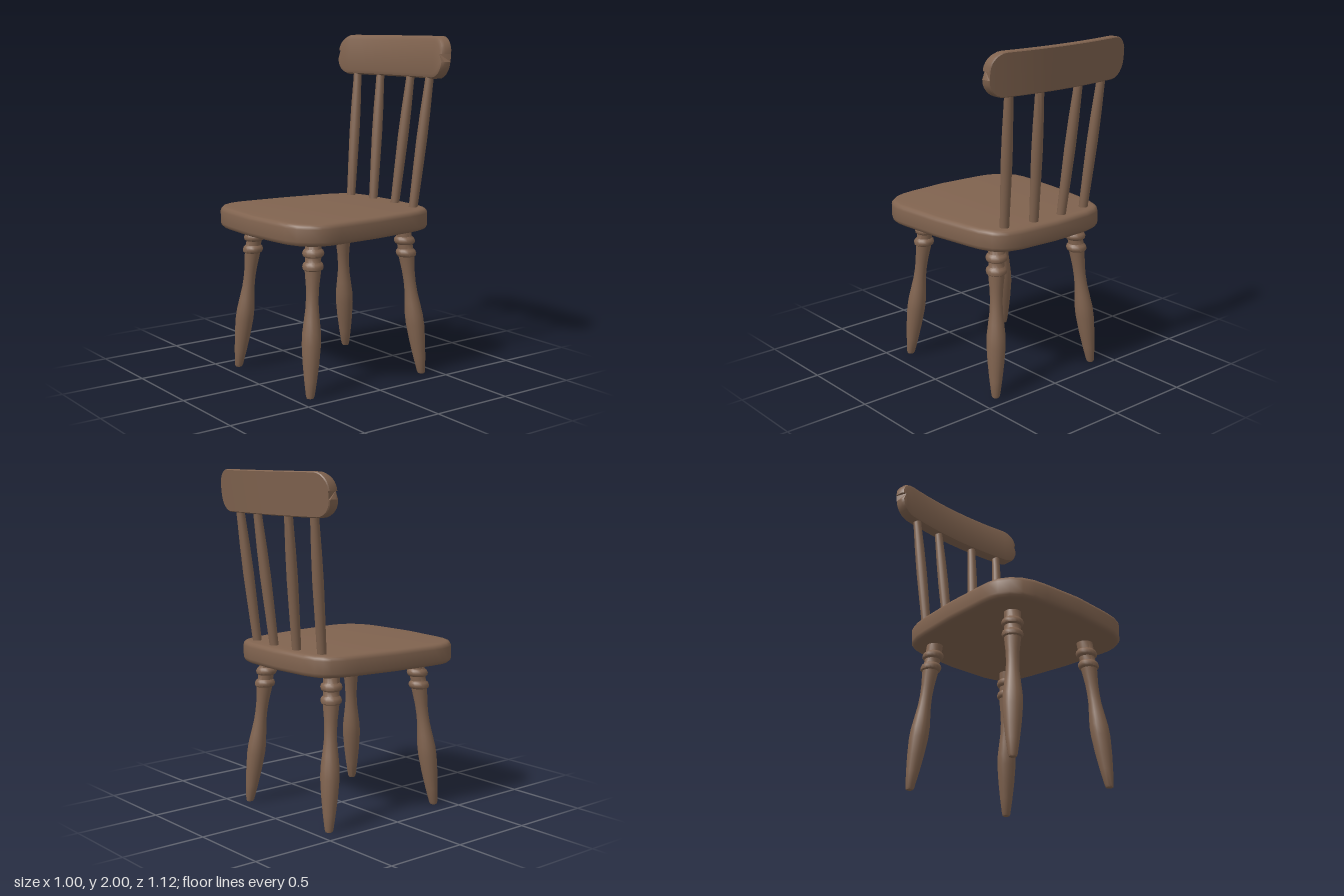
import * as THREE from 'three';
import { toCreasedNormals } from 'three/addons/utils/BufferGeometryUtils.js';

const wood = new THREE.MeshStandardMaterial({ color: 0x80634f });
wood.name = 'brown wood';

const v2 = ([x, y]) => new THREE.Vector2(x, y);

function addPart(group, name, geometry, crease = 0.8) {
  const mesh = new THREE.Mesh(toCreasedNormals(geometry, crease), wood);
  mesh.name = name;
  group.add(mesh);
}

// Turned piece: profile of [radius, height], sheared so its axis runs from a to b
function turned(profile, a, b) {
  const g = new THREE.LatheGeometry(profile.map(v2), 16);
  const axis = new THREE.Vector3(b[0] - a[0], b[1] - a[1], b[2] - a[2]).divideScalar(b[1] - a[1]);
  const m = new THREE.Matrix4().makeBasis(
    new THREE.Vector3(1, 0, 0), axis, new THREE.Vector3(0, 0, 1)).setPosition(...a);
  return g.applyMatrix4(m);
}

// Seat plate: half outline [x, z] from back to front, mirrored and bevelled
function seatGeometry() {
  const half = [[0, -0.505], [0.25, -0.49], [0.33, -0.47], [0.375, -0.445], [0.405, -0.41],
    [0.437, -0.33], [0.452, -0.25], [0.485, 0], [0.502, 0.28], [0.502, 0.34], [0.49, 0.4],
    [0.455, 0.46], [0.4, 0.505], [0.33, 0.532], [0.25, 0.543], [0, 0.56]];
  const mirrored = half.slice(1, -1).reverse().map(([x, z]) => [-x, z]);
  const shape = new THREE.Shape([...half, ...mirrored].map(([x, z]) => new THREE.Vector2(x, -z)));
  const bevel = 0.028;
  const g = new THREE.ExtrudeGeometry(shape, {
    depth: 0.125 - 2 * bevel, bevelThickness: bevel, bevelSize: bevel, bevelOffset: -bevel,
    bevelSegments: 3, steps: 1,
  });
  return g.rotateX(-Math.PI / 2).translate(0, 0.875 + bevel, 0);
}

// Top rail: rounded board lofted along x, bent backwards in the middle and leaning back
function railGeometry() {
  const r = 0.1, midY = 1.8775, straight = 0.4, flat = 0.0225;
  const edge = [[0.028, 0], [0.009, -0.008], [0, -0.026], [0, -0.07], [0.005, -0.075]];
  const stations = [];
  for (let i = 6; i >= 1; i--) stations.push([-straight, -i * Math.PI / 12]);
  for (let i = 0; i <= 10; i++) stations.push([-straight + i * straight / 5, 0]);
  for (let i = 1; i <= 6; i++) stations.push([straight, i * Math.PI / 12]);

  const pos = [], index = [], n = edge.length * 2;
  for (const [cx, a] of stations) {
    const add = ([inset, dz], side) => {
      const x = cx + (r - inset) * Math.sin(a);
      const y = midY + side * (flat + (r - inset) * Math.cos(a));
      pos.push(x, y, -0.415 + dz - 0.05 * (1 - 4 * x * x) - 0.1 * (y - 1.755));
    };
    edge.forEach((e) => add(e, 1));
    [...edge].reverse().forEach((e) => add(e, -1));
  }
  const last = (stations.length - 1) * n;
  for (let s = 0; s < last; s += n) {
    for (let j = 0; j < n; j++) {
      const k = (j + 1) % n;
      index.push(s + j, s + n + j, s + k, s + k, s + n + j, s + n + k);
    }
  }
  for (let j = 1; j < n - 1; j++) index.push(0, j, j + 1, last, last + j + 1, last + j);
  const g = new THREE.BufferGeometry();
  g.setAttribute('position', new THREE.Float32BufferAttribute(pos, 3));
  g.setIndex(index);
  return g;
}

export function createModel() {
  const chair = new THREE.Group();
  chair.name = 'chair';

  addPart(chair, 'seat', seatGeometry());
  addPart(chair, 'topRail', railGeometry(), 0.6);

  // Splayed legs with a swelling and two turned rings
  const leg = [[0, 0], [0.02, 0], [0.025, 0.012], [0.037, 0.1], [0.048, 0.2], [0.055, 0.3],
    [0.054, 0.36], [0.046, 0.43], [0.038, 0.5], [0.036, 0.56], [0.038, 0.62], [0.046, 0.7],
    [0.047, 0.712], [0.057, 0.718], [0.061, 0.733], [0.057, 0.748], [0.046, 0.758],
    [0.046, 0.785], [0.058, 0.792], [0.063, 0.807], [0.058, 0.822], [0.047, 0.832],
    [0.048, 0.89], [0, 0.89]];
  for (const side of [1, -1]) {
    const s = side > 0 ? 'left' : 'right';
    addPart(chair, s + 'FrontLeg', turned(leg, [side * 0.38, 0, 0.405], [side * 0.298, 0.89, 0.322]));
    addPart(chair, s + 'BackLeg', turned(leg, [side * 0.38, 0, -0.41], [side * 0.298, 0.89, -0.322]));
  }

  // Leaning back spindles, slightly swollen above the middle
  const spindle = [[0, 0], [0.026, 0], [0.027, 0.05], [0.03, 0.25], [0.032, 0.42],
    [0.03, 0.58], [0.026, 0.72], [0.024, 0.82], [0, 0.82]];
  for (const side of [1, -1]) {
    const s = side > 0 ? 'left' : 'right';
    addPart(chair, s + 'OuterSpindle',
      turned(spindle, [side * 0.303, 0.98, -0.394], [side * 0.346, 1.8, -0.48]));
    addPart(chair, s + 'InnerSpindle',
      turned(spindle, [side * 0.105, 0.98, -0.417], [side * 0.146, 1.8, -0.503]));
  }
  return chair;
}
